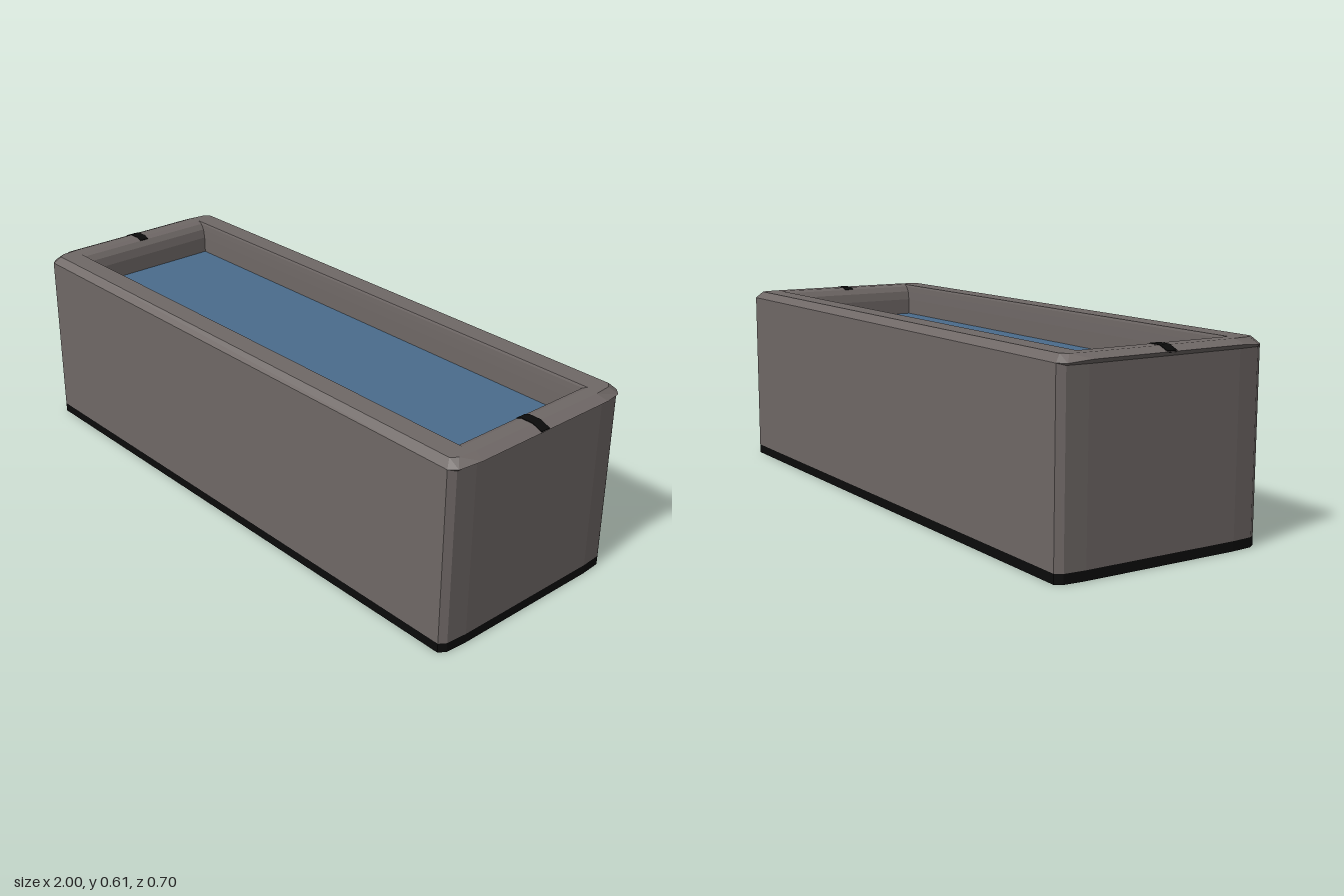
import * as THREE from 'three';

// Plan outline: a = x along the middle of the end, b = x near the corner, c = x at the corner
function ring(y, a, b, c, z1, z2, z3, yEnd = y) {
  const q = [[a, yEnd, z1], [b, y, z2], [c, y, z3]];
  const flip = (sx, sz) => ([x, py, z]) => [x * sx, py, z * sz];
  return [
    ...q.map(flip(1, 1)),
    ...q.map(flip(-1, 1)).reverse(),
    ...q.map(flip(-1, -1)),
    ...q.map(flip(1, -1)).reverse(),
  ];
}
const rect = (y, x, z) => ring(y, x, x, x, z - 0.06, z - 0.03, z);

// Skin of quads between successive rings, with hard facets
function loft(rings) {
  const pos = [];
  for (let i = 0; i + 1 < rings.length; i++) {
    const lo = rings[i], hi = rings[i + 1];
    for (let j = 0; j < lo.length; j++) {
      const k = (j + 1) % lo.length;
      pos.push(...lo[j], ...hi[j], ...hi[k], ...lo[j], ...hi[k], ...lo[k]);
    }
  }
  const g = new THREE.BufferGeometry();
  g.setAttribute('position', new THREE.Float32BufferAttribute(pos, 3));
  g.computeVertexNormals();
  return g;
}

export function createModel() {
  const group = new THREE.Group();
  const material = (name, color) => {
    const m = new THREE.MeshStandardMaterial({ color });
    m.name = name;
    return m;
  };
  const stone = material('stone grey', 0x6f6866);
  const water = material('water blue', 0x4a6c8c);
  const black = material('grime black', 0x0b0b0b);

  const add = (name, geometry, mat) => {
    const mesh = new THREE.Mesh(geometry, mat);
    mesh.name = name;
    group.add(mesh);
    return mesh;
  };

  const outer = (y) => ring(y, 0.98, 0.975, 0.96, 0.26, 0.33, 0.352);
  const foot = (y, d) => ring(y, 0.98 - d, 0.975 - d, 0.96 - d, 0.26 - d, 0.33 - d, 0.352 - d);

  // Hollow underside
  add('undersideWall', loft([rect(0.22, 0.9, 0.27), rect(0.02, 0.9, 0.27)]), stone);
  add('innerFootBand', loft([rect(0.02, 0.9, 0.27), rect(0, 0.9, 0.27), rect(0, 0.912, 0.282)]), black);
  add('footFace', loft([rect(0, 0.912, 0.282), foot(0, 0.012)]), stone);
  add('outerFootBand', loft([foot(0, 0.012), outer(0), outer(0.03)]), black);
  const ceiling = add('undersideCeiling', new THREE.PlaneGeometry(1.8, 0.54), stone);
  ceiling.rotation.x = Math.PI / 2;
  ceiling.position.y = 0.22;

  // Outer walls, bevelled rim and rounded inner ends
  add('outerWall', loft([outer(0.03), outer(0.582)]), stone);
  add('rim', loft([
    outer(0.582),
    ring(0.588, 1.0, 0.982, 0.96, 0.26, 0.33, 0.352, 0.596),
    ring(0.61, 0.965, 0.96, 0.945, 0.25, 0.31, 0.33),
    rect(0.61, 0.925, 0.262),
    rect(0.603, 0.907, 0.26),
    rect(0.585, 0.893, 0.259),
    rect(0.555, 0.886, 0.258),
    rect(0.5, 0.885, 0.258),
  ]), stone);

  // Water surface
  const surface = add('water', new THREE.PlaneGeometry(1.77, 0.516), water);
  surface.rotation.x = -Math.PI / 2;
  surface.position.y = 0.5;

  // Dark seam over the rim at each end
  const profile = [[0.907, 0.603], [0.925, 0.61], [0.965, 0.61], [0.998, 0.597]];
  const lifted = profile.map(([x, y]) => new THREE.Vector2(x, y + 0.002));
  const sunk = profile.map(([x, y]) => new THREE.Vector2(x, y - 0.003)).reverse();
  const seam = new THREE.ExtrudeGeometry(new THREE.Shape([...lifted, ...sunk]), { depth: 0.034, bevelEnabled: false });
  seam.translate(0, 0, -0.017);
  add('leftSeam', seam, black).position.z = 0.008;
  add('rightSeam', seam, black).rotation.y = Math.PI;

  return group;
}
